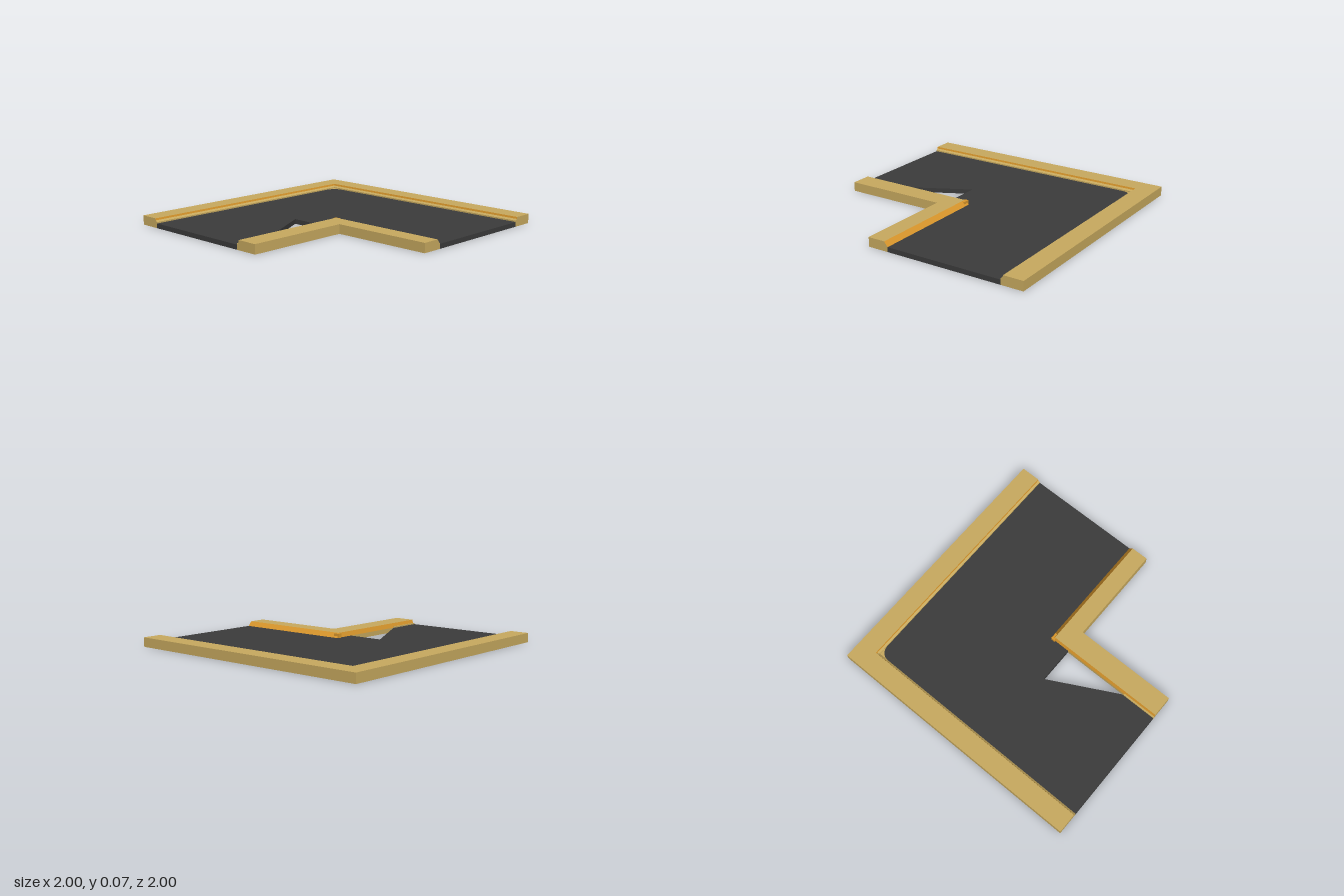
import * as THREE from 'three';

const tan = new THREE.MeshStandardMaterial({ color: 0xc8aa5f });
tan.name = 'sandstone';
const orange = new THREE.MeshStandardMaterial({ color: 0xdb982c });
orange.name = 'orangeTrim';
const dark = new THREE.MeshStandardMaterial({ color: 0x3b3b3b });
dark.name = 'asphalt';

// Sweeps a closed profile round an L-shaped mitred corner.
// Profile points: [offset on the z arm, offset on the x arm, height]
function corner(cx, cz, s, profile, edges, caps) {
  const pos = [];
  const tri = (a, b, c) => pos.push(...a, ...(s > 0 ? b : c), ...(s > 0 ? c : b));
  const rings = profile.map(([dx, dz, y]) => [
    [cx + s * dx, y, 1],
    [cx + s * dx, y, cz + s * dz],
    [1, y, cz + s * dz],
  ]);
  for (const i of edges) {
    const p = rings[i], q = rings[(i + 1) % rings.length];
    for (let k = 0; k < 2; k++) {
      tri(p[k], q[k], q[k + 1]);
      tri(p[k], q[k + 1], p[k + 1]);
    }
  }
  if (caps) {
    for (let i = 1; i < rings.length - 1; i++) {
      tri(rings[0][0], rings[i + 1][0], rings[i][0]);
      tri(rings[0][2], rings[i][2], rings[i + 1][2]);
    }
  }
  const g = new THREE.BufferGeometry();
  g.setAttribute('position', new THREE.Float32BufferAttribute(pos, 3));
  g.computeVertexNormals();
  return g;
}

// Extrudes an outline given as [x, z] points upward from y0
function slab(points, y0, height) {
  const shape = new THREE.Shape(points.map(([x, z]) => new THREE.Vector2(x, -z)));
  return new THREE.ExtrudeGeometry(shape, { depth: height, bevelEnabled: false })
    .rotateX(-Math.PI / 2).translate(0, y0, 0);
}

export function createModel() {
  const model = new THREE.Group();
  const add = (name, geometry, material) => {
    const mesh = new THREE.Mesh(geometry, material);
    mesh.name = name;
    model.add(mesh);
  };
  const block = (name, x0, x1, y0, y1, z0, z1, material) => add(name,
    new THREE.BoxGeometry(x1 - x0, y1 - y0, z1 - z0)
      .translate((x0 + x1) / 2, (y0 + y1) / 2, (z0 + z1) / 2), material);

  // Road bed with its triangular notch
  add('roadBed', slab([
    [-0.835, 1], [0.05, 1], [0.05, 0.72], [-0.22, 0.21], [0.06, 0.21],
    [0.06, 0.05], [1, 0.05], [1, -0.835], [-0.835, -0.835],
  ], 0, 0.035), dark);

  // Outer kerb with a stepped inner side
  const outer = [
    [0, 0, 0], [0, 0, 0.07], [0.148, 0.148, 0.07],
    [0.151, 0.151, 0.056], [0.165, 0.165, 0.045], [0.165, 0.165, 0],
  ];
  add('outerKerb', corner(-1, -1, 1, outer, [0, 1, 3, 4, 5], true), tan);
  add('outerKerbTrim', corner(-1, -1, 1, outer, [2], false), orange);

  // Rounded fill in the outer corner of the road
  const fill = [[-0.835, -0.835]];
  for (let i = 0; i <= 8; i++) {
    const a = (i / 8) * Math.PI / 2;
    fill.push([-0.755 - 0.08 * Math.cos(a), -0.755 - 0.08 * Math.sin(a)]);
  }
  add('cornerFill', slab(fill, 0.034, 0.004), tan);

  // Inner kerb with a sloping trim facing the road
  const inner = [
    [0, 0, 0], [0, 0, 0.07], [0.16, 0.132, 0.07],
    [0.17, 0.16, 0.035], [0.17, 0.16, 0],
  ];
  add('innerKerb', corner(0.23, 0.21, -1, inner, [0, 1, 3, 4], true), tan);
  add('innerKerbTrim', corner(0.23, 0.21, -1, inner, [2], false), orange);

  // Small ledge and end stub beside the inner kerb
  block('innerLedge', 0.05, 0.062, 0, 0.045, 0.73, 1, tan);
  block('cornerStub', 0.05, 0.1, 0.034, 0.066, 0.06, 0.09, orange);
  return model;
}
